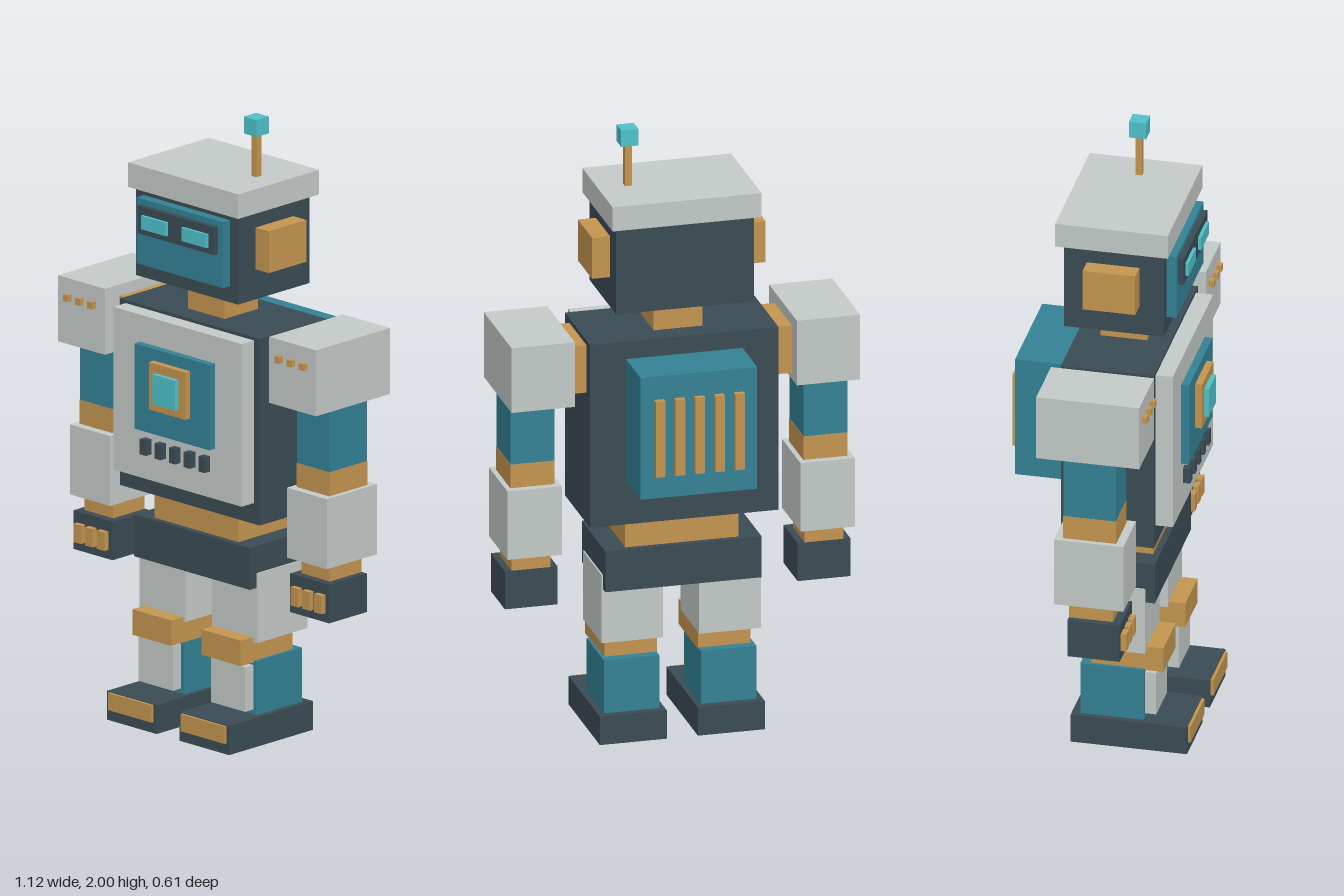
import * as THREE from 'three';

const mat = (name, color) => {
  const m = new THREE.MeshStandardMaterial({ color });
  m.name = name;
  return m;
};

export function createModel() {
  const grey = mat('light grey', 0xc3cac7);
  const dark = mat('dark slate', 0x3a4b54);
  const teal = mat('teal', 0x338295);
  const tan = mat('bronze', 0xc4954f);
  const cyan = mat('cyan glow', 0x50c1ca);

  const robot = new THREE.Group();
  robot.name = 'robot';

  const group = (name) => {
    const g = new THREE.Group();
    g.name = name;
    robot.add(g);
    return g;
  };
  // Box given by its extents on each axis
  const box = (parent, name, m, [x0, x1], [y0, y1], [z0, z1]) => {
    const mesh = new THREE.Mesh(new THREE.BoxGeometry(x1 - x0, y1 - y0, z1 - z0), m);
    mesh.position.set((x0 + x1) / 2, (y0 + y1) / 2, (z0 + z1) / 2);
    mesh.name = name;
    parent.add(mesh);
  };
  const wide = (h) => [-h, h];
  const around = (c, w) => [c - w / 2, c + w / 2];

  // Head with cap, face, antenna
  const head = group('head');
  box(head, 'skull', dark, wide(0.222), [1.44, 1.73], [-0.12, 0.198]);
  box(head, 'cap', grey, wide(0.24), [1.727, 1.807], [-0.145, 0.215]);
  box(head, 'facePlate', teal, wide(0.188), [1.493, 1.708], [0.19, 0.23]);
  box(head, 'visor', dark, wide(0.167), [1.6, 1.69], [0.225, 0.248]);
  box(head, 'antennaRod', tan, around(0.143, 0.022), [1.8, 1.95], around(0.036, 0.022));
  box(head, 'antennaTip', cyan, around(0.143, 0.055), [1.945, 2], around(0.036, 0.055));
  box(head, 'neck', tan, wide(0.079), [1.34, 1.445], [-0.038, 0.112]);

  // Torso and chest instruments
  const torso = group('torso');
  box(torso, 'body', dark, wide(0.304), [0.735, 1.343], [-0.112, 0.185]);
  box(torso, 'chestPanel', grey, wide(0.279), [0.803, 1.333], [0.18, 0.24]);
  box(torso, 'chestScreen', teal, wide(0.163), [0.967, 1.245], [0.235, 0.265]);
  box(torso, 'coreFrame', tan, wide(0.079), [1.053, 1.207], [0.26, 0.287]);
  box(torso, 'core', cyan, wide(0.05), [1.08, 1.177], [0.28, 0.302]);
  box(torso, 'backpack', teal, wide(0.188), [0.88, 1.285], [-0.285, -0.105]);
  for (let i = -2; i <= 2; i++) {
    box(torso, 'chestButton', dark, around(i * 0.064, 0.027), [0.888, 0.938], [0.235, 0.264]);
    box(torso, 'backpackRib', tan, around(i * 0.064, 0.031), [0.955, 1.208], [-0.303, -0.28]);
  }
  box(torso, 'waist', tan, wide(0.183), [0.64, 0.74], [-0.085, 0.155]);
  box(torso, 'pelvis', dark, wide(0.252), [0.512, 0.648], [-0.103, 0.176]);

  // Paired parts, mirrored by placing each extent on its own side
  for (const s of [1, -1]) {
    const side = s > 0 ? 'left' : 'right';
    const on = (a, b) => (s > 0 ? [a, b] : [-b, -a]);

    box(head, side + 'Ear', tan, on(0.22, 0.28), [1.538, 1.674], [-0.048, 0.12]);
    box(head, side + 'Eye', cyan, on(0.034, 0.142), [1.62, 1.664], [0.245, 0.258]);

    const arm = group(side + 'Arm');
    box(arm, 'shoulderJoint', tan, on(0.3, 0.365), [1.17, 1.328], [-0.07, 0.133]);
    box(arm, 'shoulder', grey, on(0.358, 0.562), [1.15, 1.365], [-0.131, 0.198]);
    box(arm, 'upperArm', teal, on(0.402, 0.543), [0.945, 1.155], [-0.049, 0.119]);
    box(arm, 'elbow', tan, on(0.401, 0.544), [0.86, 0.946], [-0.05, 0.12]);
    box(arm, 'forearm', grey, on(0.385, 0.56), [0.64, 0.868], [-0.075, 0.147]);
    box(arm, 'wrist', tan, on(0.41, 0.535), [0.58, 0.645], [-0.032, 0.108]);
    box(arm, 'hand', dark, on(0.387, 0.557), [0.46, 0.586], [-0.033, 0.134]);
    for (let i = -1; i <= 1; i++) {
      box(arm, 'shoulderBolt', tan, around(s * 0.461 + i * 0.053, 0.021), [1.293, 1.315], [0.19, 0.215]);
      box(arm, 'finger', tan, around(s * 0.473 + i * 0.051, 0.033), [0.49, 0.55], [0.125, 0.152]);
    }

    const leg = group(side + 'Leg');
    box(leg, 'thigh', grey, on(0.058, 0.257), [0.333, 0.56], [-0.076, 0.146]);
    box(leg, 'knee', tan, on(0.066, 0.236), [0.265, 0.348], [-0.031, 0.2]);
    box(leg, 'shin', teal, on(0.067, 0.246), [0.09, 0.27], [-0.063, 0.14]);
    box(leg, 'shinPlate', grey, on(0.083, 0.232), [0.11, 0.255], [0.135, 0.176]);
    box(leg, 'foot', dark, on(0.05, 0.266), [0, 0.094], [-0.09, 0.282]);
    box(leg, 'toeCap', tan, on(0.063, 0.254), [0.036, 0.092], [0.27, 0.291]);
  }
  return robot;
}
